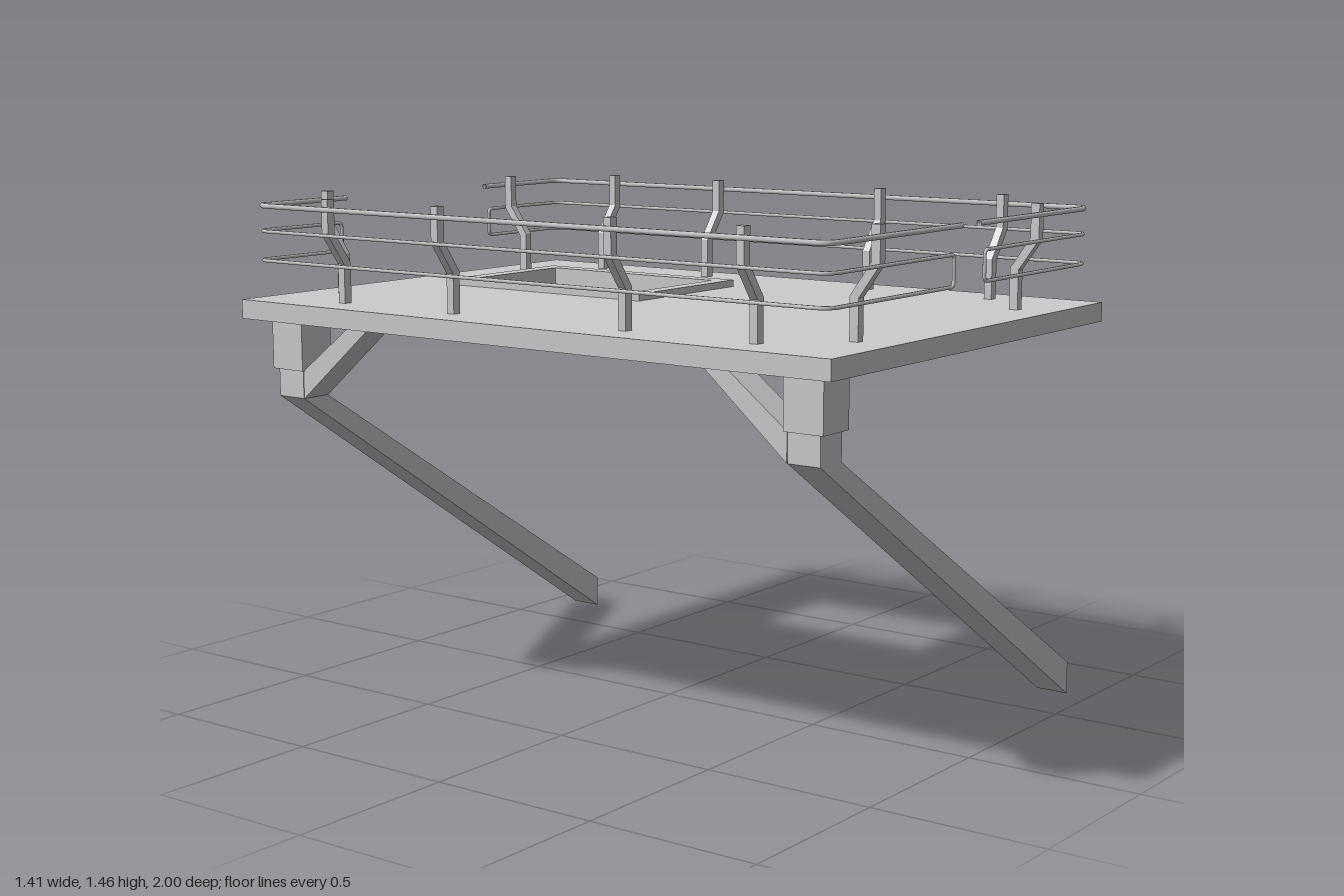
import * as THREE from 'three';

const mat = new THREE.MeshStandardMaterial({ color: 0xcccccc, flatShading: true });
const railMat = new THREE.MeshStandardMaterial({ color: 0xcccccc, side: THREE.DoubleSide });

function add(parent, name, geometry, material = mat) {
  const mesh = new THREE.Mesh(geometry, material);
  mesh.name = name;
  parent.add(mesh);
  return mesh;
}

const poly = (pts) => new THREE.Shape(pts.map(([x, y]) => new THREE.Vector2(x, y)));
const rect = (x0, x1, y0, y1) => poly([[x0, y0], [x1, y0], [x1, y1], [x0, y1]]);

// Profile extruded about its own middle plane
function prism(shape, depth) {
  const g = new THREE.ExtrudeGeometry(shape, { depth, bevelEnabled: false });
  return g.translate(0, 0, -depth / 2);
}

// Horizontal slab with a rectangular opening; shape y is -z
function slab(outer, hole, y0, y1) {
  const shape = rect(...outer);
  shape.holes.push(rect(...hole));
  const g = new THREE.ExtrudeGeometry(shape, { depth: y1 - y0, bevelEnabled: false });
  return g.rotateX(-Math.PI / 2).translate(0, y0, 0);
}

// Tube along a polyline whose corners are rounded; points are [x, y, z, cornerRadius]
function bentTube(points, radius, segments) {
  const path = new THREE.CurvePath();
  const v = points.map((p) => new THREE.Vector3(p[0], p[1], p[2]));
  let last = v[0];
  for (let i = 1; i < v.length - 1; i++) {
    const r = points[i][3];
    const a = v[i].clone().add(v[i - 1].clone().sub(v[i]).setLength(r));
    const b = v[i].clone().add(v[i + 1].clone().sub(v[i]).setLength(r));
    path.add(new THREE.LineCurve3(last, a));
    path.add(new THREE.QuadraticBezierCurve3(a, v[i], b));
    last = b;
  }
  path.add(new THREE.LineCurve3(last, v[v.length - 1]));
  return new THREE.TubeGeometry(path, segments, radius, 6, false);
}

export function createModel() {
  const model = new THREE.Group();
  model.name = 'platform';

  // Deck: panel with hatch opening over a perimeter frame
  const hatchHole = [-0.01, 0.355, 0.11, 0.715];
  add(model, 'deckPanel', slab([-0.705, 0.705, -1, 1], hatchHole, 1.13, 1.16));
  add(model, 'deckFrame', slab([-0.705, 0.705, -1, 1], [-0.525, 0.525, -0.85, 0.85], 1.105, 1.13));
  add(model, 'hatchFrame', slab([-0.06, 0.405, 0.065, 0.765], hatchHole, 1.16, 1.18));

  // Supports: sloping leg, socket and brace at each end
  const legShape = poly([[-0.635, 0.96], [-0.635, 0.88], [0.705, 0], [0.705, 0.095], [-0.54, 0.88], [-0.54, 0.96]]);
  const braceShape = poly([[0.83, 0.88], [0.83, 0.96], [0.64, 1.105], [0.565, 1.105]]);
  for (const s of [1, -1]) {
    const support = new THREE.Group();
    support.name = s > 0 ? 'frontSupport' : 'backSupport';
    add(support, 'leg', prism(legShape, 0.096)).position.z = s * 0.88;
    add(support, 'socket', new THREE.BoxGeometry(0.115, 0.145, 0.117)).position.set(-0.5875, 1.0325, s * 0.883);
    // Profile x points outward along z
    const brace = add(support, 'brace', prism(braceShape, 0.095));
    brace.rotation.y = -s * Math.PI / 2;
    brace.position.x = -0.5875;
    model.add(support);
  }

  // Railing posts: cranked outward, profile x measured outward from the base's inner face
  const postShape = poly([[0, 1.16], [0.026, 1.16], [0.026, 1.27], [0.086, 1.355], [0.086, 1.455],
    [0.06, 1.455], [0.06, 1.36], [0, 1.275]]);
  const postGeometry = prism(postShape, 0.024);
  const post = (x, z, angle) => {
    const p = add(model, 'railPost', postGeometry);
    p.position.set(x, 0, z);
    p.rotation.y = angle;
  };
  for (const s of [1, -1]) {
    for (const z of [-0.705, -0.295, 0.295, 0.705]) post(s * 0.574, z, s > 0 ? 0 : Math.PI);
    for (const x of [-0.41, 0.41]) post(x, s * 0.87, -s * Math.PI / 2);
  }

  // Rails: an upper handrail and a closed lower loop wrapping each side
  const X = 0.667, Z = 0.967, R = 0.045, r = 0.014;
  for (const s of [1, -1]) {
    const side = s > 0 ? 'left' : 'right';
    const wrap = (y, front, back, cornerRadius) => [
      [s * front, y, Z, cornerRadius], [s * X, y, Z, R], [s * X, y, -Z, R], [s * back, y, -Z, cornerRadius]];
    add(model, side + 'Handrail', bentTube(wrap(1.427, 0.045, 0.31, 0), 0.008, 240), railMat);
    const start = [s * 0.3, 1.355, Z, 0];
    const loop = [start, ...wrap(1.355, 0.08, 0.33, r).slice(1),
      ...wrap(1.272, 0.08, 0.33, r).reverse(), [s * 0.08, 1.355, Z, r], start];
    add(model, side + 'LowerRail', bentTube(loop, 0.0055, 700), railMat);
  }

  return model;
}
